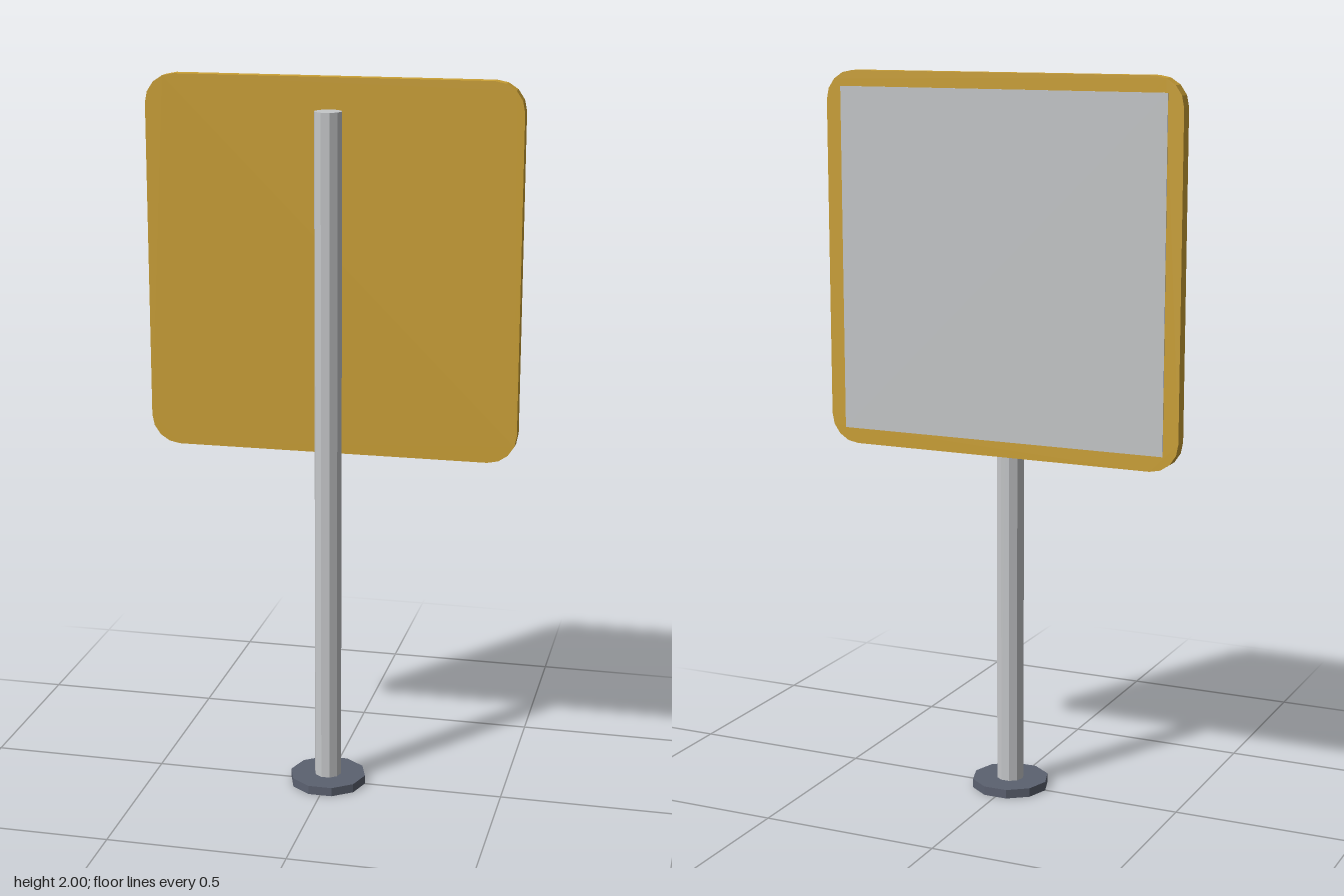
import * as THREE from 'three';

const material = (name, color) => {
  const m = new THREE.MeshStandardMaterial({ color, flatShading: true });
  m.name = name;
  return m;
};

// Square outline with rounded corners, centred on the origin
function roundedSquare(half, radius) {
  const s = new THREE.Shape();
  const c = half - radius;
  [[c, c], [-c, c], [-c, -c], [c, -c]].forEach(([x, y], i) => {
    const start = i * Math.PI / 2;
    s.absarc(x, y, radius, start, start + Math.PI / 2, false);
  });
  s.closePath();
  return s;
}

export function createModel() {
  const gold = material('gold', 0xcca135);
  const silver = material('silver', 0xc5c7c9);
  const slate = material('slate', 0x5b6170);

  const model = new THREE.Group();
  model.name = 'signPost';
  const add = (name, geometry, mat, x, y, z) => {
    const mesh = new THREE.Mesh(geometry, mat);
    mesh.name = name;
    mesh.position.set(x, y, z);
    model.add(mesh);
    return mesh;
  };

  // Ten-sided column with corners on the x axis
  const column = (radius, height) =>
    new THREE.CylinderGeometry(radius, radius, height, 10).rotateY(Math.PI / 2);

  // Base plate and post
  add('basePlate', column(0.108, 0.025), slate, 0, 0.0125, 0);
  add('post', column(0.038, 1.89), silver, 0, 0.97, 0);

  // Board mounted behind the post, corners cut in two steps
  const board = new THREE.ExtrudeGeometry(roundedSquare(0.515, 0.08), {
    depth: 0.037, bevelEnabled: false, curveSegments: 2,
  });
  add('board', board, gold, 0, 1.485, -0.074);

  // Thin blank panel on the back of the board
  add('backPanel', new THREE.BoxGeometry(0.944, 0.944, 0.003), silver, 0, 1.485, -0.0745);

  return model;
}
